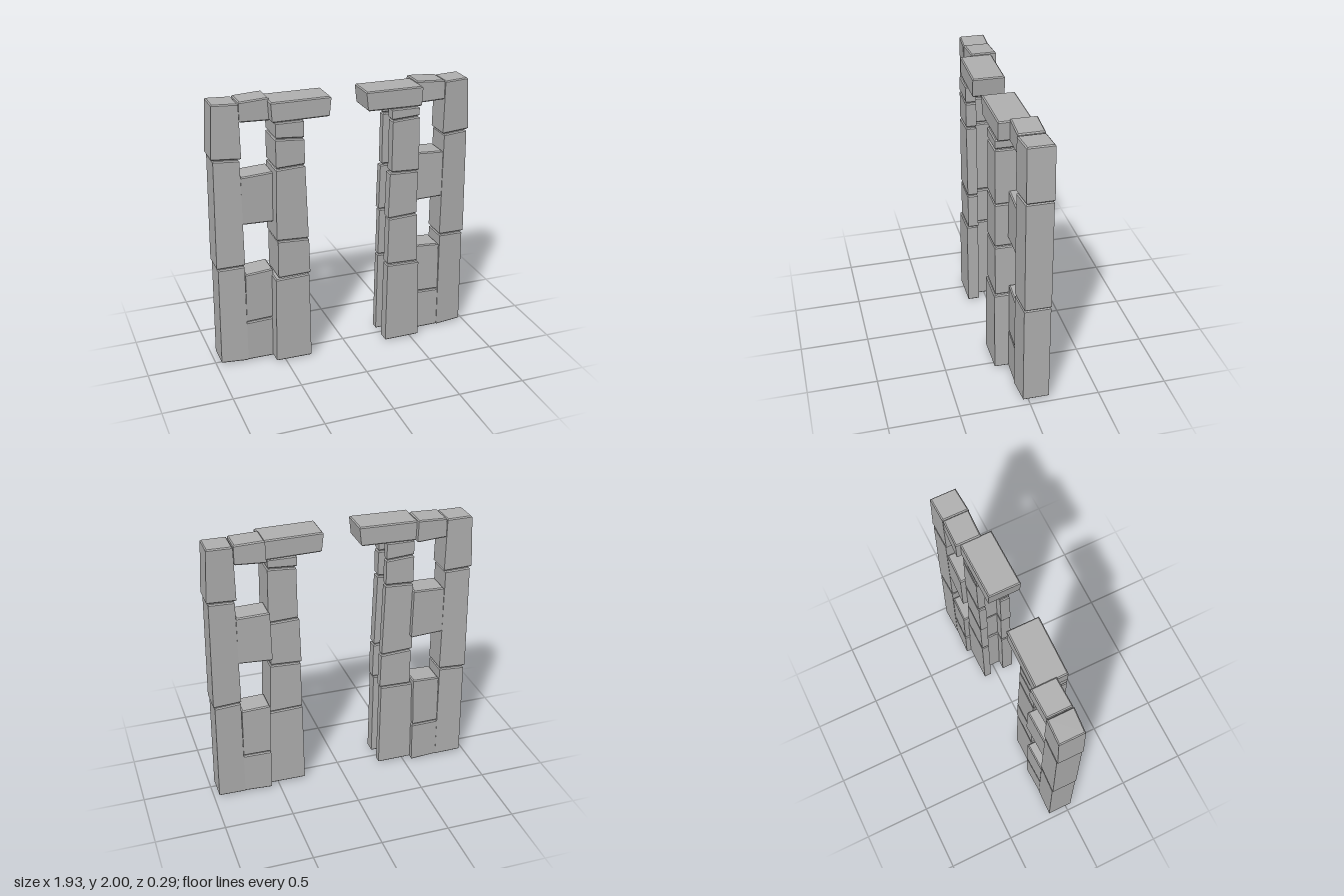
import * as THREE from 'three';
import { toCreasedNormals } from 'three/addons/utils/BufferGeometryUtils.js';

const stoneMaterial = new THREE.MeshStandardMaterial({ color: 0xb0b0b0 });
stoneMaterial.name = 'grey stone';

const BEVEL = 0.008;

// One stone: a plan outline extruded upward, then skewed to hand-cut edges.
// xb / xt: [left, right] at the bottom and top; yb / yt: [left, right] heights.
function stone(name, plan, xb, xt, yb, yt) {
  const w = xb[1] - xb[0];
  const shape = new THREE.Shape(plan(xb[0], xb[1]).map(([x, z]) => new THREE.Vector2(x, -z)));
  const geo = new THREE.ExtrudeGeometry(shape, {
    depth: 1 - 2 * BEVEL, steps: 1, bevelEnabled: true,
    bevelSize: BEVEL, bevelOffset: -BEVEL, bevelThickness: BEVEL, bevelSegments: 1,
  });
  geo.rotateX(-Math.PI / 2);
  geo.translate(0, BEVEL, 0);
  const p = geo.attributes.position;
  const lerp = THREE.MathUtils.lerp;
  for (let i = 0; i < p.count; i++) {
    const u = (p.getX(i) - xb[0]) / w;
    const v = p.getY(i);
    const bottom = lerp(yb[0], yb[1], u), top = lerp(yt[0], yt[1], u);
    // keep the bevel its true height whatever the stone's height
    const y = v < 0.5 ? bottom + v : top - (1 - v);
    const k = (y - bottom) / (top - bottom);
    p.setXY(i, lerp(lerp(xb[0], xt[0], k), lerp(xb[1], xt[1], k), u), y);
  }
  geo.computeVertexNormals();
  const mesh = new THREE.Mesh(toCreasedNormals(geo, 0.6), stoneMaterial);
  mesh.name = name;
  return mesh;
}

// Plain plan with separate depths at the left and right ends
const block = (backL, backR, frontL, frontR) => (x0, x1) =>
  [[x0, frontL], [x1, frontR], [x1, backR], [x0, backL]];

// Jamb plan: a deep slot runs up the side that faces the opening (side = -1 left, 1 right)
const slotted = (side, front) => (x0, x1) => {
  const inner = side < 0 ? x1 : x0, outer = side < 0 ? x0 : x1;
  const core = inner + side * 0.07;
  const pts = [[outer, front], [inner, front], [inner, 0.06], [core, 0.06],
    [core, -0.05], [inner, -0.05], [inner, -0.105], [outer, -0.105]];
  return side < 0 ? pts : pts.reverse();
};

// Each row: bottom x pair, top x pair, bottom y pair, top y pair
const jambRows = {
  left: [
    [[-0.572, -0.303], [-0.56, -0.31], [0.01, 0.008], [0.678, 0.685]],
    [[-0.538, -0.3], [-0.535, -0.306], [0.685, 0.69], [0.972, 0.96]],
    [[-0.544, -0.308], [-0.534, -0.326], [0.978, 0.966], [1.51, 1.52]],
    [[-0.534, -0.328], [-0.534, -0.328], [1.518, 1.527], [1.728, 1.714]],
    [[-0.532, -0.33], [-0.532, -0.33], [1.735, 1.72], [1.845, 1.845]],
  ],
  right: [
    [[0.293, 0.562], [0.302, 0.55], [0.008, 0.01], [0.645, 0.637]],
    [[0.303, 0.542], [0.31, 0.53], [0.65, 0.642], [1.015, 1.025]],
    [[0.302, 0.525], [0.312, 0.528], [1.02, 1.031], [1.37, 1.362]],
    [[0.322, 0.534], [0.326, 0.528], [1.377, 1.368], [1.76, 1.772]],
    [[0.32, 0.526], [0.32, 0.526], [1.767, 1.779], [1.845, 1.845]],
  ],
};

function buildFrame(side) {
  const frame = new THREE.Group();
  frame.name = side < 0 ? 'rightHandFrame' : 'leftHandFrame';
  // order pairs given as [outer, inner] by rising x
  const xs = (o, i) => (side < 0 ? [-o, -i] : [i, o]);
  const ys = (o, i) => (side < 0 ? [o, i] : [i, o]);
  const plan = (bo, bi, fo, fi) => block(...ys(bo, bi), ...ys(fo, fi));
  const add = (name, pl, xb, xt, yb, yt) => frame.add(stone(name, pl, xb, xt, yb, yt));

  // Outer post of three stacked stones
  const postPlan = plan(-0.145, -0.137, 0.042, 0.055);
  add('lowerPost', postPlan, xs(0.963, 0.764), xs(0.953, 0.764), ys(0.015, 0.006), ys(0.773, 0.78));
  add('middlePost', postPlan, xs(0.963, 0.76), xs(0.95, 0.768), ys(0.78, 0.787), ys(1.592, 1.582));
  add('upperPost', postPlan, xs(0.963, 0.755), xs(0.942, 0.762), ys(1.6, 1.588), ys(1.988, 1.982));

  // Filler stones bridging post and jamb
  const fillPlan = plan(-0.135, -0.142, 0.05, 0.042);
  add('lowerFiller', fillPlan, xs(0.764, 0.562), xs(0.764, 0.558), ys(0.008, 0.002), ys(0.32, 0.322));
  add('raisedFiller', fillPlan, xs(0.762, 0.562), xs(0.758, 0.552), ys(0.325, 0.328), ys(0.708, 0.72));
  add('middleFiller', fillPlan, xs(0.764, 0.522), xs(0.764, 0.53), ys(1.1, 1.09), ys(1.455, 1.465));
  add('topFiller', fillPlan, xs(0.757, 0.54), xs(0.757, 0.545), ys(1.848, 1.838), ys(1.99, 2));

  // Slotted jamb beside the opening
  const rows = jambRows[side < 0 ? 'left' : 'right'];
  rows.forEach((r, i) => add('jambStone' + (i + 1), slotted(side, i === 0 ? 0.145 : 0.136), ...r));

  // Lintel stub reaching over the opening
  add('lintel', plan(-0.108, -0.102, 0.122, 0.128),
    xs(0.548, 0.143), xs(0.556, 0.128), ys(1.843, 1.848), ys(1.985, 1.988));
  return frame;
}

export function createModel() {
  const model = new THREE.Group();
  model.name = 'stoneDoorway';
  for (const side of [-1, 1]) model.add(buildFrame(side));
  return model;
}
